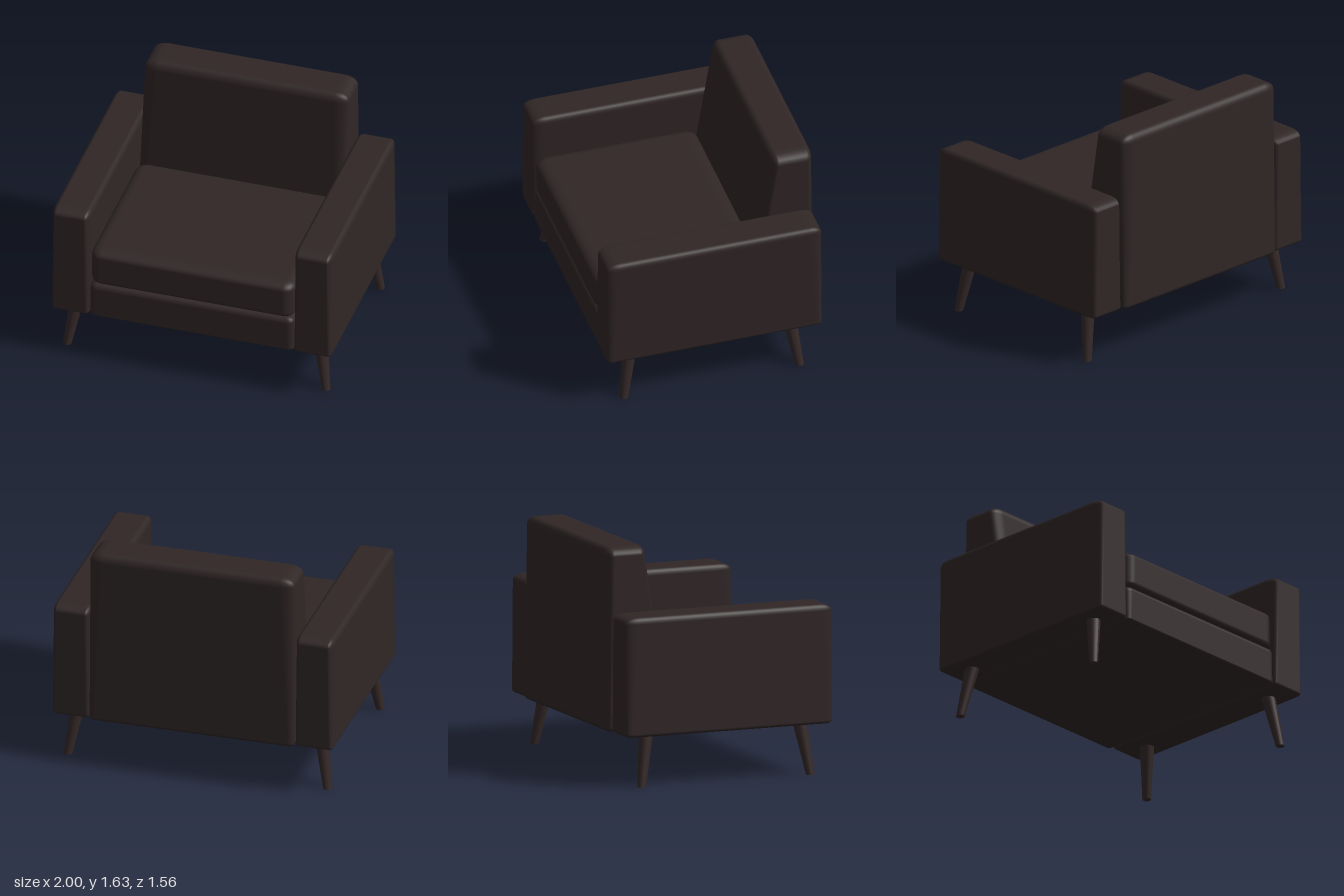
import * as THREE from 'three';
import { RoundedBoxGeometry } from 'three/addons/geometries/RoundedBoxGeometry.js';

const upholstery = new THREE.MeshStandardMaterial({ name: 'upholstery', color: 0x302626 });
const legWood = new THREE.MeshStandardMaterial({ name: 'legWood', color: 0x352828 });

// Padded box between two corners, with separate [x, y, z] bevels for its top and bottom
function softBox(name, min, max, topBevel, bottomBevel = topBevel) {
  const geo = new RoundedBoxGeometry(1, 1, 1, 3, 0.1);
  const pos = geo.attributes.position, nor = geo.attributes.normal;
  const n = new THREE.Vector3();
  for (let i = 0; i < pos.count; i++) {
    const bevel = pos.getY(i) > 0 ? topBevel : bottomBevel;
    n.fromBufferAttribute(nor, i);
    const p = [0, 1, 2].map((k) => {
      const s = Math.sign(pos.getComponent(i, k));
      const half = (max[k] - min[k]) / 2;
      return (max[k] + min[k]) / 2 + s * (half - bevel[k]) + n.getComponent(k) * bevel[k];
    });
    pos.setXYZ(i, ...p);
    n.set(n.x / bevel[0], n.y / bevel[1], n.z / bevel[2]).normalize();
    nor.setXYZ(i, n.x, n.y, n.z);
  }
  const mesh = new THREE.Mesh(geo, upholstery);
  mesh.name = name;
  return mesh;
}

// Tapered round leg running between two points
function leg(name, top, bottom) {
  const axis = new THREE.Vector3().subVectors(top, bottom);
  const rings = new THREE.CylinderGeometry(0.05, 0.03, axis.y, 20);
  const pos = rings.attributes.position;
  // Shear keeps the foot flat on the floor
  for (let i = 0; i < pos.count; i++) {
    const t = pos.getY(i) / axis.y + 0.5;
    pos.setX(i, pos.getX(i) + bottom.x + axis.x * t);
    pos.setZ(i, pos.getZ(i) + bottom.z + axis.z * t);
    pos.setY(i, bottom.y + axis.y * t);
  }
  rings.computeVertexNormals();
  const mesh = new THREE.Mesh(rings, legWood);
  mesh.name = name;
  return mesh;
}

export function createModel() {
  const chair = new THREE.Group();
  chair.name = 'armchair';

  // Seat base and loose cushion
  chair.add(softBox('seatBase', [-0.73, 0.355, -0.58], [0.73, 0.62, 0.775], [0.05, 0.04, 0.04], [0.04, 0.02, 0.04]));
  chair.add(softBox('seatCushion', [-0.73, 0.61, -0.375], [0.73, 0.89, 0.775], [0.08, 0.05, 0.09]));

  // Backrest: the front face leans forward towards the seat
  const backrest = softBox('backrest', [-0.73, 0.355, -0.78], [0.73, 1.632, -0.485], [0.1, 0.06, 0.05], [0.04, 0.03, 0.03]);
  const pos = backrest.geometry.attributes.position;
  for (let i = 0; i < pos.count; i++) {
    if (pos.getZ(i) > -0.63) pos.setZ(i, pos.getZ(i) + Math.max(0, 1.59 - pos.getY(i)) * 0.146);
  }
  chair.add(backrest);

  for (const side of [1, -1]) {
    const label = side > 0 ? 'left' : 'right';
    const xs = [0.732 * side, side].sort((a, b) => a - b);
    chair.add(softBox(label + 'Arm', [xs[0], 0.355, -0.757], [xs[1], 1.186, 0.778], [0.035, 0.045, 0.09], [0.025, 0.025, 0.04]));
    // Splayed legs
    for (const [end, zTop, zFoot] of [['Front', 0.583, 0.64], ['Back', -0.557, -0.615]]) {
      chair.add(leg(label + end + 'Leg',
        new THREE.Vector3(0.867 * side, 0.37, zTop),
        new THREE.Vector3(0.925 * side, 0, zFoot)));
    }
  }
  return chair;
}
